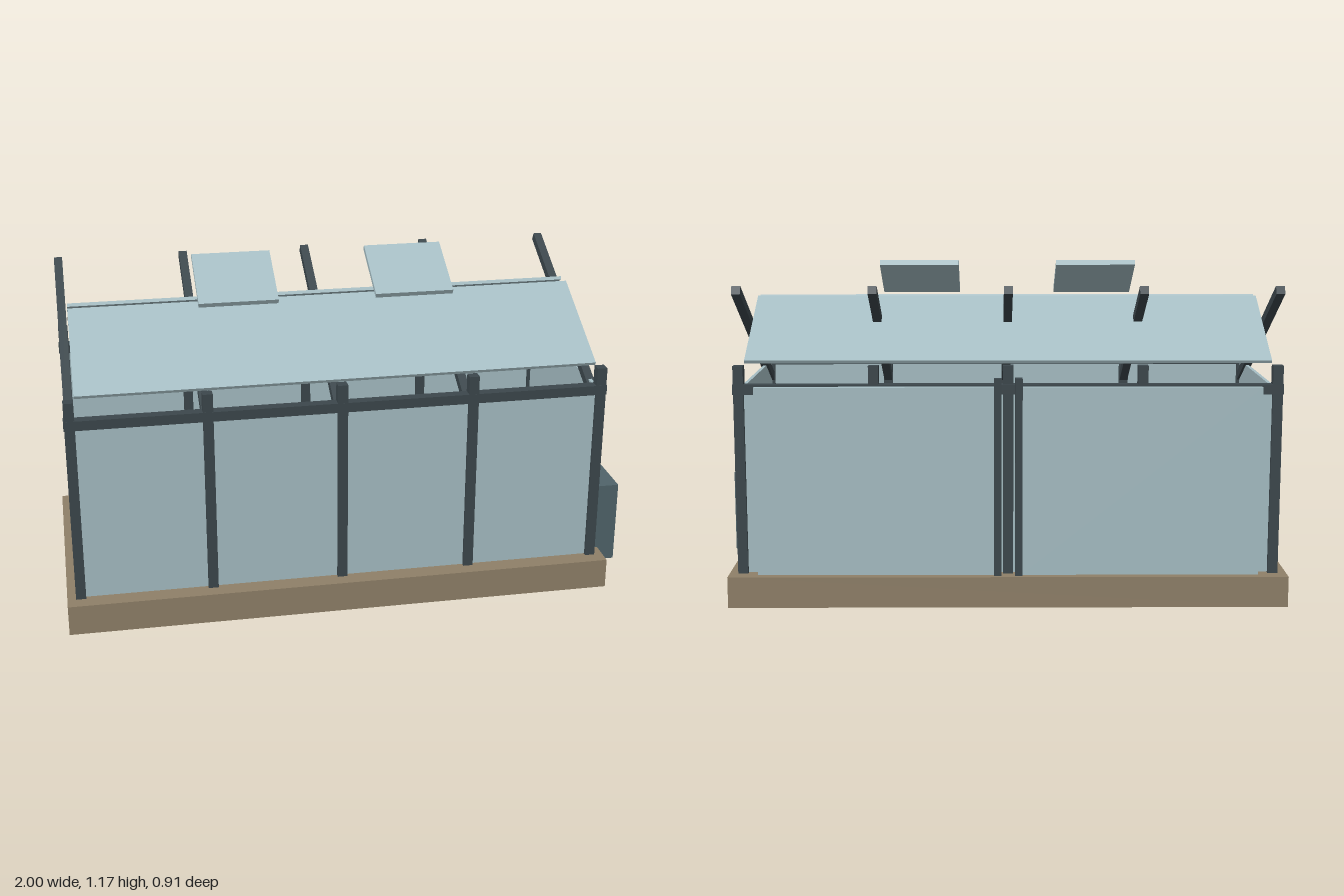
import * as THREE from 'three';

const mat = (color) => new THREE.MeshStandardMaterial({ color });

export function createModel() {
  const root = new THREE.Group();
  const frame = mat(0x3c474c), glass = mat(0xa6bec4), stone = mat(0x8f8068);
  const wood = mat(0x7a5238), leaf = mat(0x4f7a3a), metal = mat(0x50646a);
  const MID = -0.0325; // centre of the house along x

  const box = (name, material, size, pos, tilt = 0, parent = root) => {
    const m = new THREE.Mesh(new THREE.BoxGeometry(...size), material);
    m.name = name;
    m.position.set(...pos);
    m.rotation.x = tilt;
    parent.add(m);
    return m;
  };

  // Hollow foundation ring
  const rect = (P, w, d) => new P([
    new THREE.Vector2(-w, -d), new THREE.Vector2(w, -d),
    new THREE.Vector2(w, d), new THREE.Vector2(-w, d),
  ]);
  const ring = rect(THREE.Shape, 0.9675, 0.455);
  ring.holes.push(rect(THREE.Path, 0.88, 0.367));
  const base = new THREE.Mesh(
    new THREE.ExtrudeGeometry(ring, { depth: 0.108, bevelEnabled: false }), stone);
  base.name = 'foundation';
  base.rotation.x = -Math.PI / 2;
  base.position.x = MID;
  root.add(base);

  // Posts and rafters in five bays
  const slope = Math.atan2(0.402, 0.767);
  for (let i = 0; i < 5; i++) {
    const x = MID + (i - 2) * 0.46;
    for (const z of [-0.387, 0.387]) {
      box('post', frame, [0.035, 0.727, 0.036], [x, 0.4715, z]);
    }
    box('rafter', frame, [0.03, 0.03, 0.895], [x, 0.885, 0], slope);
  }

  // Front and back: top rail and wall glass
  for (const z of [-0.387, 0.387]) {
    box('topRail', frame, [1.88, 0.034, 0.038], [MID, 0.754, z]);
    box('wallGlass', glass, [1.81, 0.64, 0.012], [MID, 0.43, z]);
  }
  // End wall glass
  for (const s of [-1, 1]) {
    box('endGlass', glass, [0.012, 0.644, 0.74], [MID + s * 0.92, 0.43, 0]);
  }

  // Roof glass, two slopes with an open ridge
  const pitch = Math.atan2(0.19, 0.36);
  for (const s of [-1, 1]) {
    box('roofGlass', glass, [1.8, 0.012, 0.405], [MID, 0.941, s * 0.205], s * pitch);
  }

  // Raised roof vents
  for (const s of [-1, 1]) {
    box('roofVent', glass, [0.28, 0.018, 0.248], [MID + s * 0.313, 1.108, 0], pitch);
  }

  // Sliding door panels and their centre stiles at the back
  for (const s of [-1, 1]) {
    box('doorPanel', glass, [0.82, 0.655, 0.024], [MID + s * 0.455, 0.4375, -0.42]);
    box('doorStile', frame, [0.025, 0.687, 0.034], [MID + s * 0.036, 0.4515, -0.422]);
  }

  // Planting beds with rows of leafy plants
  const leafGeo = new THREE.IcosahedronGeometry(1, 0);
  for (const z of [-0.215, 0, 0.215]) {
    box('plantingBed', wood, [1.4, 0.1, 0.13], [MID, 0.225, z]);
    for (let i = 0; i < 4; i++) {
      const plant = new THREE.Group();
      plant.name = 'plant';
      plant.position.set(MID + (i - 1.5) * 0.355, 0.3, z);
      for (let k = 0; k < 5; k++) {
        const a = (k / 5) * Math.PI * 2;
        const l = new THREE.Mesh(leafGeo, leaf);
        l.name = 'leaf';
        l.scale.set(0.03, 0.03, 0.014);
        l.position.set(Math.cos(a) * 0.025, 0, Math.sin(a) * 0.025);
        l.rotation.y = -a;
        plant.add(l);
      }
      root.add(plant);
    }
  }

  // Utility cabinet on the end wall
  box('cabinet', metal, [0.098, 0.298, 0.215], [0.951, 0.206, 0.242]);

  return root;
}
